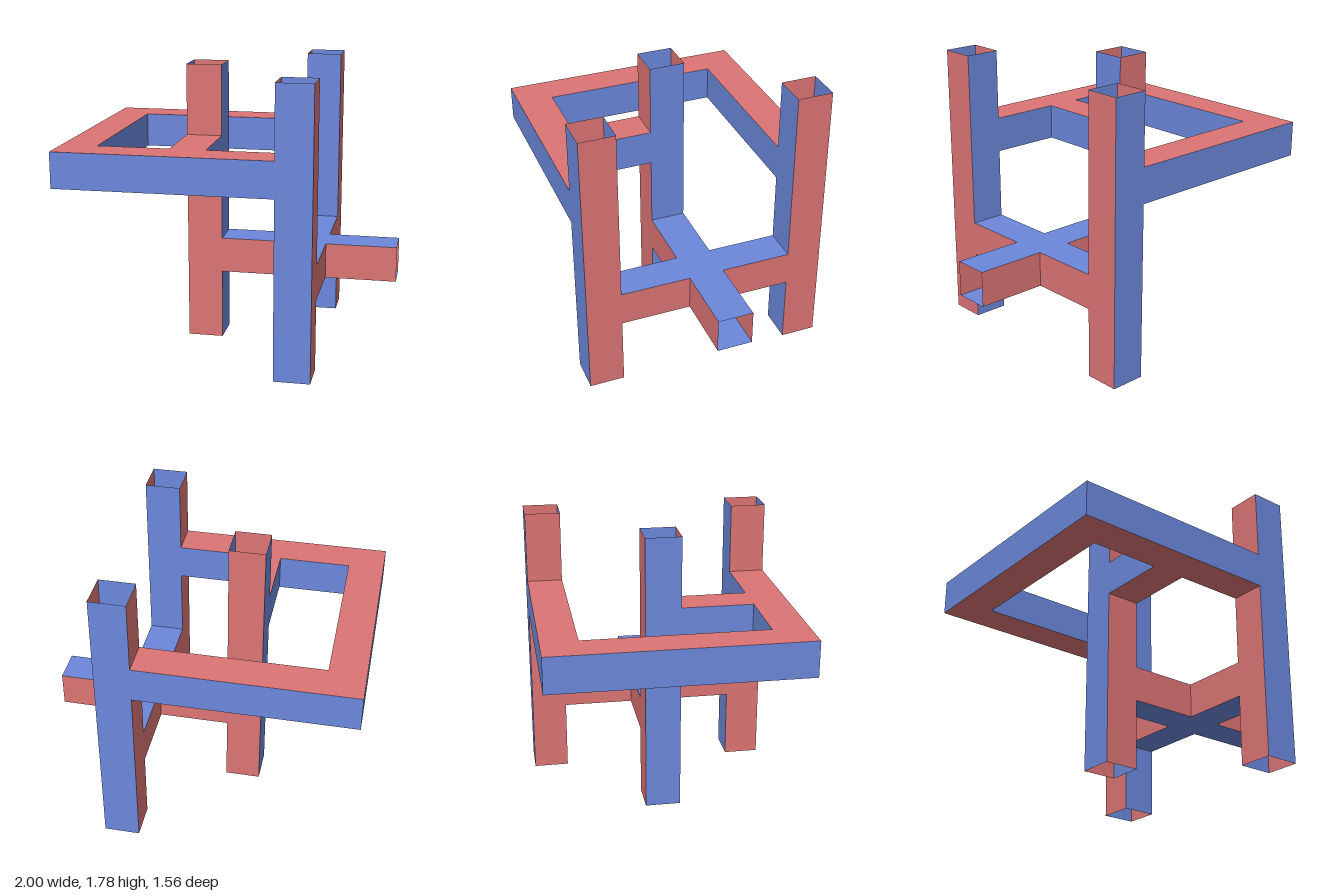
import * as THREE from 'three';

const CELL = 2 / 9; // thickness of every tube
const ORIGIN = [-1, 0, -7 / 9];
const red = new THREE.MeshStandardMaterial({ color: 0xdc7474, side: THREE.DoubleSide });
const blue = new THREE.MeshStandardMaterial({ color: 0x6b87db, side: THREE.DoubleSide });

// Flat wall facing the given axis (0 = x, 1 = y, 2 = z), centred at c
function wall(axis, size, c, material) {
  const dims = [[size[2], size[1]], [size[0], size[2]], [size[0], size[1]]][axis];
  const geometry = new THREE.PlaneGeometry(...dims);
  if (axis === 0) geometry.rotateY(Math.PI / 2);
  if (axis === 1) geometry.rotateX(-Math.PI / 2);
  geometry.translate(...c);
  return new THREE.Mesh(geometry, material);
}

// Open-ended square tube over a block of grid cells; the pair of walls
// facing redAxis is red, the other pair blue
function tube(name, along, redAxis, first, count) {
  const group = new THREE.Group();
  group.name = name;
  const size = [CELL, CELL, CELL];
  size[along] *= count;
  const centre = first.map((cell, i) => ORIGIN[i] + cell * CELL + size[i] / 2);
  for (let axis = 0; axis < 3; axis++) {
    if (axis === along) continue;
    for (const side of [-1, 1]) {
      const c = [...centre];
      c[axis] += side * CELL / 2;
      const mesh = wall(axis, size, c, axis === redAxis ? red : blue);
      mesh.name = name + 'Wall';
      group.add(mesh);
    }
  }
  return group;
}

export function createModel() {
  const X = 0, Y = 1, Z = 2;
  const model = new THREE.Group();
  model.name = 'tubeFrame';
  model.add(
    // Upright posts
    tube('frontPost', Y, X, [6, 0, 6], 8),
    tube('backPost', Y, X, [6, 0, 0], 8),
    tube('centrePost', Y, Z, [3, 0, 3], 8),
    // Upper loop with the branch to the centre post
    tube('upperFrontBar', X, Y, [0, 5, 6], 7),
    tube('upperBackBar', X, Y, [0, 5, 0], 7),
    tube('upperSideBar', Z, Y, [0, 5, 0], 7),
    tube('upperBranch', Z, Y, [3, 5, 3], 4),
    // Lower cross, open at its +x end
    tube('lowerCrossBar', Z, X, [6, 2, 0], 7),
    tube('lowerLongBar', X, Z, [3, 2, 3], 6),
  );
  return model;
}
